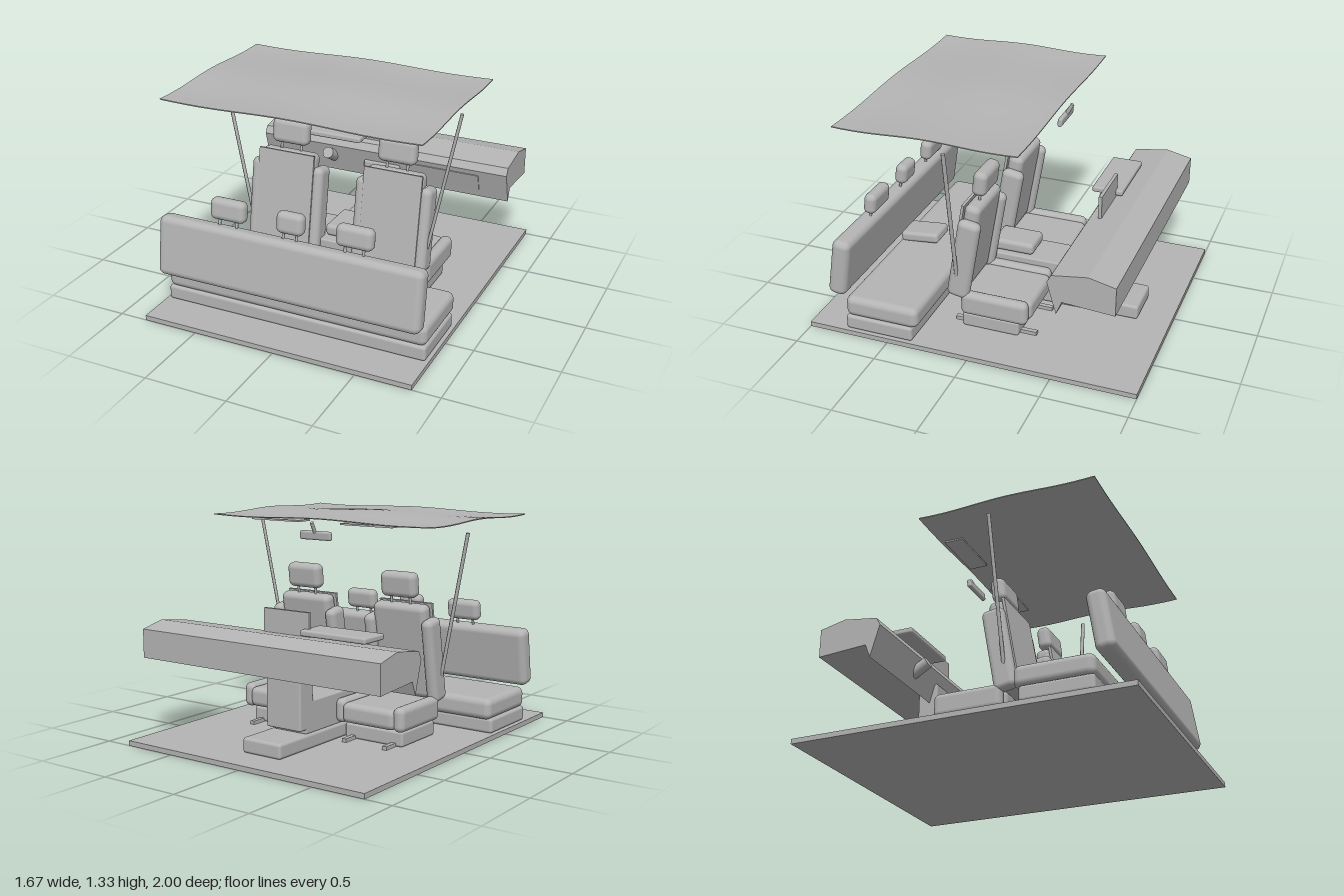
import * as THREE from 'three';
import { RoundedBoxGeometry } from 'three/addons/geometries/RoundedBoxGeometry.js';

const grey = new THREE.MeshStandardMaterial({ color: 0xb4b4b4 });
grey.name = 'plain grey';
const greySheet = grey; // one colour everywhere
grey.side = THREE.DoubleSide;

function add(parent, name, geometry, x, y, z, rx = 0) {
  const mesh = new THREE.Mesh(geometry, grey);
  mesh.name = name;
  mesh.position.set(x, y, z);
  mesh.rotation.x = rx;
  parent.add(mesh);
  return mesh;
}
const box = (w, h, d) => new THREE.BoxGeometry(w, h, d);
const soft = (w, h, d, r = 0.025) => new RoundedBoxGeometry(w, h, d, 4, r);

// Straight round bar between two points
function rod(parent, name, a, b, r, sides = 12) {
  const from = new THREE.Vector3(...a), to = new THREE.Vector3(...b);
  const dir = to.clone().sub(from);
  const mid = from.clone().add(to).multiplyScalar(0.5);
  const mesh = add(parent, name, new THREE.CylinderGeometry(r, r, dir.length(), sides), mid.x, mid.y, mid.z);
  mesh.quaternion.setFromUnitVectors(new THREE.Vector3(0, 1, 0), dir.normalize());
  return mesh;
}

function frontSeat(x) {
  const seat = new THREE.Group();
  seat.name = 'frontSeat';
  seat.position.x = x;
  // rails, base and cushion
  for (const s of [-1, 1]) {
    add(seat, 'seatRail', box(0.028, 0.022, 0.505), s * 0.14, 0.041, -0.048);
    add(seat, 'cushionBolster', soft(0.075, 0.145, 0.41, 0.035), s * 0.2, 0.2, -0.06);
  }
  add(seat, 'seatBase', soft(0.4, 0.09, 0.35, 0.015), 0, 0.075, -0.03);
  add(seat, 'seatCushion', soft(0.36, 0.12, 0.43, 0.035), 0, 0.195, -0.06);
  // tilted backrest
  const back = new THREE.Group();
  back.name = 'backrest';
  back.position.set(0, 0.485, 0.125);
  back.rotation.x = -0.17;
  seat.add(back);
  add(back, 'backCushion', soft(0.36, 0.57, 0.095, 0.035), 0, 0.045, 0.01);
  add(back, 'backPanel', box(0.365, 0.545, 0.016), 0, 0.055, 0.065);
  for (const s of [-1, 1])
    add(back, 'backBolster', soft(0.075, 0.51, 0.135, 0.035), s * 0.2, 0, 0);
  // headrest
  add(seat, 'headrest', soft(0.237, 0.15, 0.085, 0.035), 0, 0.925, 0.065, -0.12);
  for (const s of [-1, 1])
    rod(seat, 'headrestPost', [s * 0.065, 0.77, 0.085], [s * 0.065, 0.88, 0.07], 0.008);
  return seat;
}

function rearBench() {
  const bench = new THREE.Group();
  bench.name = 'rearBench';
  add(bench, 'benchBase', soft(1.63, 0.09, 0.42, 0.018), 0, 0.075, 0.56);
  add(bench, 'benchCushion', soft(1.63, 0.128, 0.455, 0.04), 0, 0.179, 0.543);
  add(bench, 'benchBackrest', soft(1.63, 0.36, 0.112, 0.04), 0, 0.42, 0.802, -0.15);
  add(bench, 'benchArmrest', soft(0.18, 0.065, 0.25, 0.022), 0, 0.277, 0.63, 0.1);
  for (const [x, w] of [[-0.39, 0.22], [0, 0.165], [0.39, 0.22]]) {
    add(bench, 'benchHeadrest', soft(w, 0.127, 0.077, 0.034), x, 0.69, 0.747, -0.12);
    for (const s of [-1, 1])
      rod(bench, 'headrestPost', [x + s * w * 0.25, 0.57, 0.77], [x + s * w * 0.25, 0.66, 0.755], 0.008);
  }
  return bench;
}

function dashboard() {
  const dash = new THREE.Group();
  dash.name = 'dashboard';
  // body: [z, y] outline swept across the width
  const outline = [[-0.86, 0.5], [-0.86, 0.67], [-0.705, 0.705], [-0.5, 0.675],
    [-0.475, 0.63], [-0.53, 0.44], [-0.562, 0.52]];
  const shape = new THREE.Shape(outline.map(([z, y]) => new THREE.Vector2(-z, y)));
  const body = new THREE.ExtrudeGeometry(shape, { depth: 1.666, bevelEnabled: false });
  body.rotateY(Math.PI / 2);
  add(dash, 'dashBody', body, -0.833, 0, 0);
  // glove box lid on the sloping face
  add(dash, 'gloveBoxLid', box(0.46, 0.12, 0.009), 0.42, 0.54, -0.5, 0.282);
  // instrument hood, screen, steering column and centre stack
  add(dash, 'instrumentHood', soft(0.44, 0.036, 0.187, 0.012), -0.345, 0.712, -0.517);
  add(dash, 'screen', box(0.32, 0.165, 0.02), 0, 0.74, -0.56);
  rod(dash, 'steeringColumn', [-0.35, 0.595, -0.425], [-0.35, 0.535, -0.53], 0.036, 24);
  add(dash, 'centreStack', soft(0.245, 0.42, 0.125, 0.012), 0, 0.352, -0.543);
  return dash;
}

function roof() {
  const top = new THREE.Group();
  top.name = 'roof';
  // gently waved headliner
  const g = new THREE.BoxGeometry(1.55, 0.006, 1.08, 32, 1, 28);
  const p = g.attributes.position;
  for (let i = 0; i < p.count; i++) {
    const x = p.getX(i), z = p.getZ(i);
    p.setY(i, p.getY(i) + 0.007 * Math.cos(Math.PI * x / 0.55) + 0.007 * Math.cos(Math.PI * z / 0.4));
  }
  g.computeVertexNormals();
  add(top, 'headliner', g, 0, 1.309, 0.25);
  for (const s of [-1, 1])
    add(top, 'sunVisor', box(0.35, 0.01, 0.115), s * 0.325, 1.289, -0.203);
  // rear-view mirror
  add(top, 'mirror', soft(0.22, 0.052, 0.028, 0.012), 0, 1.218, -0.29, -0.1);
  rod(top, 'mirrorStem', [0, 1.23, -0.295], [0, 1.295, -0.33], 0.011);
  return top;
}

export function createModel() {
  const model = new THREE.Group();
  model.name = 'carInterior';
  add(model, 'floor', box(1.666, 0.03, 2), 0, 0.015, 0);
  // tunnel, console and armrest along the middle
  add(model, 'tunnel', soft(0.27, 0.09, 1.155, 0.018), 0, 0.075, -0.228);
  add(model, 'console', soft(0.245, 0.19, 0.73, 0.01), 0, 0.212, -0.185);
  add(model, 'consoleArmrest', soft(0.2, 0.073, 0.26, 0.025), 0, 0.345, 0);
  for (const s of [-1, 1]) {
    model.add(frontSeat(s * 0.345));
    // seat belt strap
    const belt = rod(model, 'seatBelt', [s * 0.75, 1.24, 0.143], [s * 0.575, 0.38, 0.162], 0.012, 8);
    belt.scale.x = 0.8;
  }
  model.add(rearBench(), dashboard(), roof());
  return model;
}
